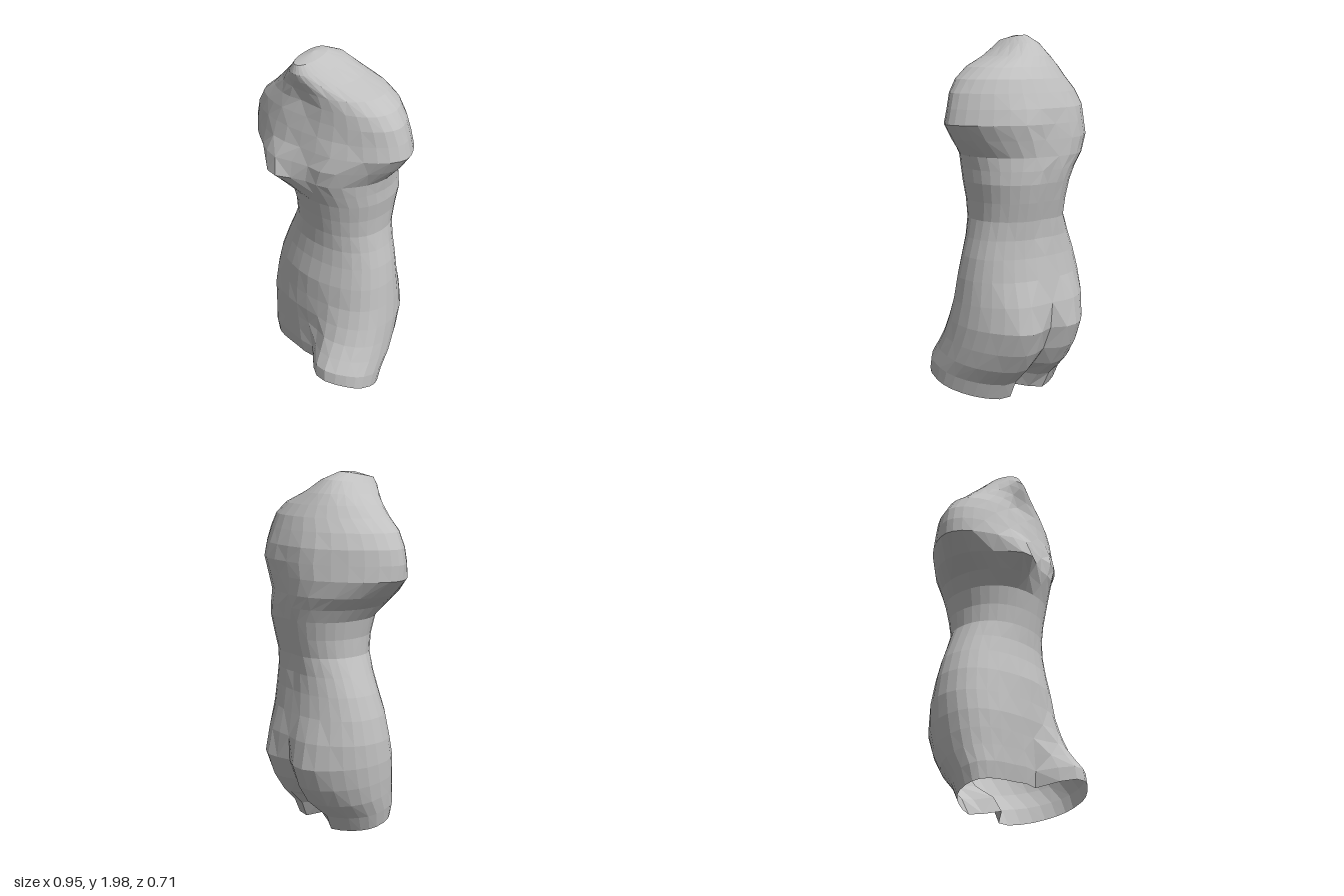
import * as THREE from 'three';

// Body cross-sections, bottom to top: height, right x, left x, front z, back z
const RINGS = [
  [0.045, -0.34, 0.435, 0.2, -0.13], [0.14, -0.36, 0.435, 0.215, -0.17],
  [0.24, -0.375, 0.425, 0.22, -0.25], [0.34, -0.385, 0.415, 0.225, -0.29],
  [0.45, -0.39, 0.405, 0.23, -0.315], [0.57, -0.385, 0.39, 0.22, -0.31],
  [0.7, -0.36, 0.375, 0.21, -0.29], [0.82, -0.32, 0.355, 0.19, -0.275],
  [0.92, -0.275, 0.33, 0.18, -0.27], [1.02, -0.23, 0.31, 0.185, -0.28],
  [1.12, -0.23, 0.315, 0.2, -0.305], [1.22, -0.25, 0.33, 0.22, -0.325],
  [1.29, -0.3, 0.33, 0.24, -0.33], [1.36, -0.39, 0.34, 0.245, -0.33],
  [1.45, -0.48, 0.42, 0.245, -0.325], [1.53, -0.48, 0.475, 0.24, -0.32],
  [1.61, -0.465, 0.455, 0.23, -0.31], [1.69, -0.415, 0.43, 0.215, -0.28],
  [1.76, -0.33, 0.38, 0.205, -0.25], [1.82, -0.27, 0.3, 0.205, -0.21],
  [1.875, -0.21, 0.16, 0.215, -0.165], [1.935, -0.155, 0.06, 0.22, -0.1],
  [1.985, -0.115, -0.01, 0.2, -0.01],
];

// Swellings and hollows: face (1 front, -1 back), x, y, width, reach up, reach down, amount
const BUMPS = [
  [1, -0.14, 1.36, 0.14, 0.13, 0.08, 0.1],    // right breast
  [1, 0.18, 1.4, 0.12, 0.13, 0.09, 0.06],     // left breast
  [1, -0.03, 1.76, 0.07, 0.06, 0.08, -0.02],  // throat hollow
  [1, 0.03, 0.68, 0.14, 0.12, 0.14, 0.01],    // belly
  [1, 0.25, 0.045, 0.19, 0.28, 0.2, 0.17],    // forward left thigh
  [1, 0.06, 0.05, 0.05, 0.32, 0.2, -0.05],    // front leg cleft
  [-1, -0.17, 0.43, 0.15, 0.18, 0.12, 0.05],  // right buttock
  [-1, 0.21, 0.43, 0.15, 0.18, 0.12, 0.06],   // left buttock
  [-1, 0.03, 0.05, 0.07, 0.25, 0.2, -0.12],   // back leg cleft
  [-1, 0.03, 0.42, 0.05, 0.15, 0.12, -0.03],  // buttock cleft
  [-1, 0.03, 1.1, 0.06, 0.35, 0.25, -0.02],   // spine
  [-1, -0.18, 1.5, 0.1, 0.12, 0.15, 0.015],   // right shoulder blade
  [-1, 0.18, 1.5, 0.1, 0.12, 0.15, 0.015],    // left shoulder blade
];

const SEGMENTS = 32;
const { smoothstep } = THREE.MathUtils;
const softPower = (v, p) => Math.sign(v) * Math.abs(v) ** p;

function relief(x, y, facing) {
  let sum = 0;
  for (const [side, bx, by, w, up, down, amount] of BUMPS) {
    if (side * facing <= 0) continue;
    const dx = (x - bx) / w, dy = (y - by) / (y > by ? up : down);
    sum += side * amount * Math.exp(-dx * dx - dy * dy);
  }
  return sum * Math.sqrt(Math.abs(facing));
}

function torsoGeometry() {
  const positions = [], index = [];
  for (const [y, x0, x1, front, back] of RINGS) {
    const shoulder = smoothstep(y, 1.2, 1.5), thigh = 1 - smoothstep(y, 0.05, 0.9);
    // Arm stumps are narrower than the chest, hips are fuller
    const fullness = 0.9 + 0.28 * smoothstep(y, 1.25, 1.5) * (1 - smoothstep(y, 1.6, 1.85)) - 0.05 * thigh;
    // The leg cut rises to the front; the neck cut falls to the front
    const slope = 0.39 * Math.max(0, 1 - y / 0.55) - 0.17 * smoothstep(y, 1.85, 1.985);
    for (let j = 0; j < SEGMENTS; j++) {
      const t = (j / SEGMENTS) * Math.PI * 2;
      const c = Math.cos(t), s = Math.sin(t);
      const x = (x0 + x1) / 2 + ((x1 - x0) / 2) * softPower(s, 0.95);
      // Flanks sit forward at the thighs and shoulders
      const flank = 0.05 * shoulder * (1 - smoothstep(y, 1.7, 1.9)) + 0.08 * thigh
        + 0.1 * x * (1 - smoothstep(y, 0, 0.5));
      const z = (front + back) / 2 + ((front - back) / 2) * softPower(c, fullness)
        - 0.08 * shoulder * x + flank * s * s + relief(x, y, c);
      positions.push(x, y + slope * z, z);
    }
  }
  for (let i = 0; i < RINGS.length - 1; i++) {
    for (let j = 0; j < SEGMENTS; j++) {
      const k = (j + 1) % SEGMENTS, a = i * SEGMENTS, b = a + SEGMENTS;
      // Alternate the diagonals for a chiselled surface
      if ((i + j) % 2) index.push(a + j, a + k, b + k, a + j, b + k, b + j);
      else index.push(a + j, a + k, b + j, a + k, b + k, b + j);
    }
  }
  // Close the neck, leave the leg opening hollow
  const top = (RINGS.length - 1) * SEGMENTS, centre = positions.length / 3;
  positions.push(-0.065, 1.985, 0.08);
  for (let j = 0; j < SEGMENTS; j++) index.push(top + j, top + (j + 1) % SEGMENTS, centre);

  const geometry = new THREE.BufferGeometry();
  geometry.setAttribute('position', new THREE.Float32BufferAttribute(positions, 3));
  geometry.setIndex(index);
  const faceted = geometry.toNonIndexed();
  faceted.computeVertexNormals();
  return faceted;
}

export function createModel() {
  const stone = new THREE.MeshStandardMaterial({ color: 0xc0c0c0, flatShading: true, side: THREE.DoubleSide });
  stone.name = 'grey stone';
  const torso = new THREE.Mesh(torsoGeometry(), stone);
  torso.name = 'torso';
  const model = new THREE.Group();
  model.name = 'torso sculpture';
  model.add(torso);
  return model;
}
